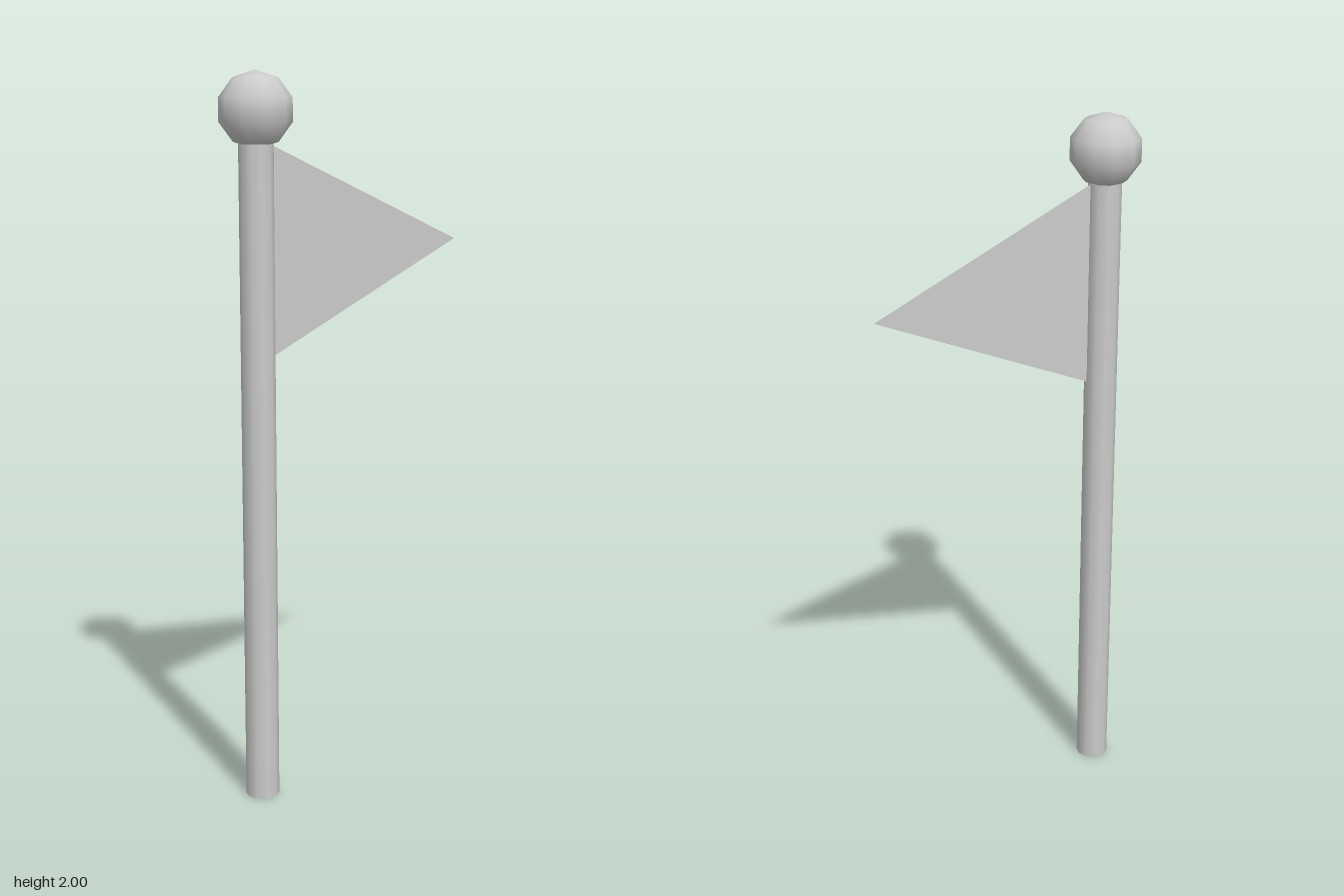
import * as THREE from 'three';

export function createModel() {
  const group = new THREE.Group();
  const grey = new THREE.MeshStandardMaterial({ color: 0xcccccc, side: THREE.DoubleSide });
  const poleZ = 0.305;

  const add = (name, geometry, y, z) => {
    const mesh = new THREE.Mesh(geometry, grey);
    mesh.name = name;
    mesh.position.set(0, y, z);
    group.add(mesh);
    return mesh;
  };

  // Open ten-sided tube
  const poleHeight = 1.81;
  add('pole', new THREE.CylinderGeometry(0.0465, 0.0465, poleHeight, 10, 1, true), poleHeight / 2, poleZ);

  // Ball on top, turned so its corners line up with those of the pole
  const ballRadius = 0.102;
  const ball = new THREE.SphereGeometry(ballRadius, 10, 5).rotateY(Math.PI / 2);
  add('finial', ball, 2 - ballRadius, poleZ);

  // Thin triangular pennant, drawn in XY and turned to trail towards the back
  const pennant = new THREE.Shape();
  pennant.moveTo(0, -0.285);
  pennant.lineTo(0.664, 0);
  pennant.lineTo(0, 0.285);
  pennant.closePath();
  add('flag', new THREE.ShapeGeometry(pennant).rotateY(Math.PI / 2), 1.525, 0.262);

  return group;
}
